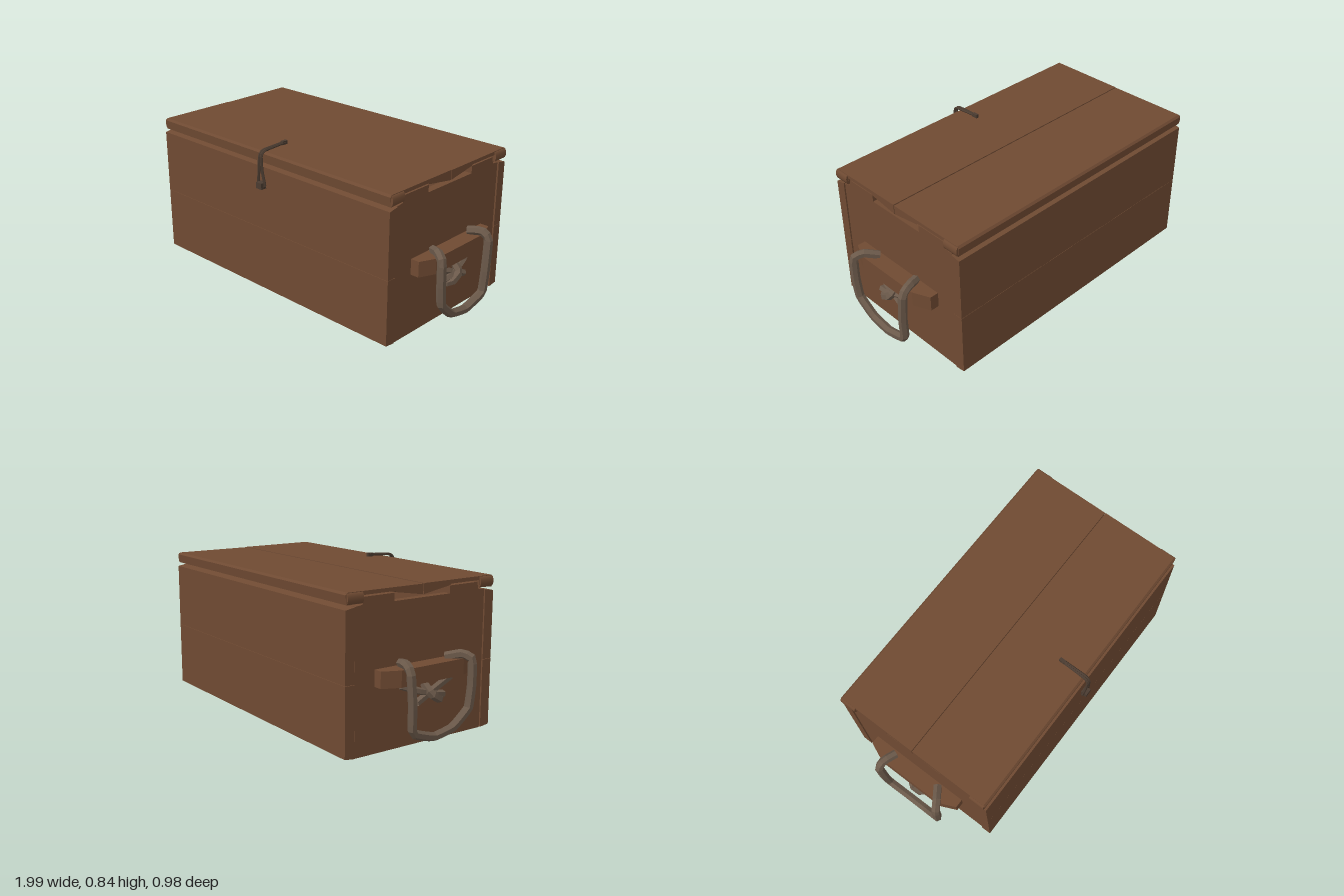
import * as THREE from 'three';

const mat = (name, color, extra = {}) => {
  const m = new THREE.MeshStandardMaterial({ color, ...extra });
  m.name = name;
  return m;
};

export function createModel() {
  const group = new THREE.Group();
  const wood = mat('brown wood', 0x6f4a32);
  const rope = mat('grey brown rope', 0x6b594a, { side: THREE.DoubleSide, flatShading: true });
  const cord = mat('dark cord', 0x4a3b30, { side: THREE.DoubleSide, flatShading: true });

  const add = (name, geo, material, parent = group) => {
    const mesh = new THREE.Mesh(geo, material);
    mesh.name = name;
    parent.add(mesh);
    return mesh;
  };
  const outline = pts => new THREE.Shape(pts.map(p => new THREE.Vector2(p[0], p[1])));

  // Extrudes a [z, y] profile along x, from x0 to x1
  const alongX = (pts, x0, x1) => {
    const g = new THREE.ExtrudeGeometry(outline(pts), { depth: x1 - x0, bevelEnabled: false });
    return g.rotateY(-Math.PI / 2).translate(x1, 0, 0);
  };

  // Rope through a few bends, kept angular
  const strand = (pts, radius, sides, segments, closed = false) => {
    const curve = new THREE.CatmullRomCurve3(
      pts.map(p => new THREE.Vector3(...p)), closed, 'catmullrom', 0.15);
    return new THREE.TubeGeometry(curve, segments, radius, sides, closed);
  };

  // Front and back walls, two planks each, with bevelled top edges
  for (const [side, inner, outer] of [['front', 0.393, 0.45], ['back', -0.437, -0.492]]) {
    add(side + 'LowerPlank', alongX([[inner, 0.005], [outer, 0.012], [outer, 0.37], [inner, 0.37]], -0.848, 0.848), wood);
    add(side + 'UpperPlank', alongX([[inner, 0.372], [outer, 0.372], [outer, 0.73], [inner, 0.74]], -0.848, 0.848), wood);
  }

  // Floor
  const floor = add('floor', new THREE.BoxGeometry(1.64, 0.03, 0.82), wood);
  floor.position.set(0, 0.02, -0.02);

  // Lid, two planks with grooved undersides
  const lidFront = [[0.44, 0.75], [0.445, 0.8], [0.435, 0.811], [-0.018, 0.811], [-0.018, 0.757],
    [0.15, 0.784], [0.16, 0.791], [0.35, 0.791], [0.352, 0.753]];
  const lidBack = [[-0.485, 0.753], [-0.49, 0.8], [-0.48, 0.811], [-0.022, 0.809], [-0.024, 0.757],
    [-0.19, 0.784], [-0.2, 0.791], [-0.39, 0.791], [-0.392, 0.753]];
  for (const [name, profile] of [['lidFrontPlank', lidFront], ['lidBackPlank', lidBack]]) {
    add(name, alongX(profile, -0.845, 0.845), wood);
    // Slightly rounded lid ends
    const edge = profile[0][0], rim = profile[8][0];
    for (const s of [-1, 1]) {
      const cap = add(name + 'End', new THREE.CylinderGeometry(0.028, 0.028, Math.abs(edge - rim), 10), wood);
      cap.rotation.x = Math.PI / 2;
      cap.scale.x = 0.5;
      cap.position.set(s * 0.843, 0.781, (edge + rim) / 2);
    }
  }

  for (const s of [-1, 1]) {
    const end = new THREE.Group();
    end.name = s > 0 ? 'leftEnd' : 'rightEnd';
    group.add(end);
    const panel = (name, pts) => add(name, alongX(pts, s > 0 ? 0.8 : -0.842, s > 0 ? 0.842 : -0.8), wood, end);

    // End wall, three planks, the top one with two tabs
    panel('endLowerPlank', [[-0.432, 0.003], [0.39, 0.003], [0.39, 0.25], [-0.432, 0.25]]);
    panel('endMiddlePlank', [[-0.432, 0.25], [0.39, 0.25], [0.39, 0.497], [-0.432, 0.497]]);
    panel('endUpperPlank', [[-0.432, 0.497], [0.39, 0.497], [0.39, 0.74], [0.35, 0.745], [0.34, 0.782],
      [0.155, 0.782], [0.155, 0.742], [-0.2, 0.742], [-0.2, 0.782], [-0.38, 0.782], [-0.39, 0.745], [-0.432, 0.74]]);

    // Tapered cleat holding the rope
    const cleat = new THREE.ExtrudeGeometry(outline([[0.84, -0.315], [0.89, -0.315], [0.93, -0.22],
      [0.93, 0.18], [0.89, 0.27], [0.84, 0.27]].map(([x, z]) => [s * x, -z])), { depth: 0.085, bevelEnabled: false });
    add('cleat', cleat.rotateX(-Math.PI / 2).translate(0, 0.34, 0), wood, end);

    const bend = pts => pts.map(([x, y, z]) => [s * x, y, z]);

    // Hanging rope handle
    add('ropeHandle', strand(bend([[0.86, 0.43, 0.12], [0.93, 0.452, 0.17], [0.972, 0.43, 0.195],
      [0.975, 0.3, 0.195], [0.972, 0.18, 0.18], [0.965, 0.095, 0.085], [0.963, 0.07, -0.04],
      [0.968, 0.115, -0.178], [0.975, 0.25, -0.187], [0.972, 0.42, -0.2], [0.93, 0.45, -0.195],
      [0.86, 0.44, -0.17]]), 0.024, 6, 44), rope, end);

    // Knot below the cleat
    const knot = new THREE.Group();
    knot.name = 'knot';
    end.add(knot);
    add('knotStrand', strand(bend([[0.865, 0.325, 0.15], [0.89, 0.29, 0.03], [0.9, 0.235, -0.1]]), 0.019, 5, 8), rope, knot);
    add('knotStrand', strand(bend([[0.865, 0.325, -0.17], [0.89, 0.295, -0.09], [0.905, 0.265, 0.02], [0.9, 0.255, 0.075]]), 0.019, 5, 10), rope, knot);
    add('knotWrap', strand(bend([[0.875, 0.32, -0.03], [0.925, 0.275, -0.025], [0.92, 0.235, 0.04],
      [0.875, 0.24, 0.05]]), 0.022, 5, 10), rope, knot);
  }

  // Cord latch: strands over the lid edge ending in a hanging loop
  const latch = new THREE.Group();
  latch.name = 'cordLatch';
  group.add(latch);
  for (const s of [-1, 1]) {
    add('latchStrand', strand([[s * 0.003 - 0.006, 0.832, 0.3], [s * 0.006 - 0.006, 0.824, 0.45],
      [s * 0.007 - 0.008, 0.8, 0.473], [s * 0.012 - 0.01, 0.72, 0.473],
      [s * 0.025 - 0.01, 0.635, 0.468], [-0.01, 0.615, 0.468]], 0.008, 5, 24), cord, latch);
  }
  const knob = add('latchEnd', new THREE.BoxGeometry(0.018, 0.02, 0.035), cord, latch);
  knob.position.set(-0.006, 0.831, 0.305);
  const toggle = add('latchToggle', new THREE.BoxGeometry(0.04, 0.035, 0.035), cord, latch);
  toggle.position.set(-0.01, 0.635, 0.472);

  return group;
}
